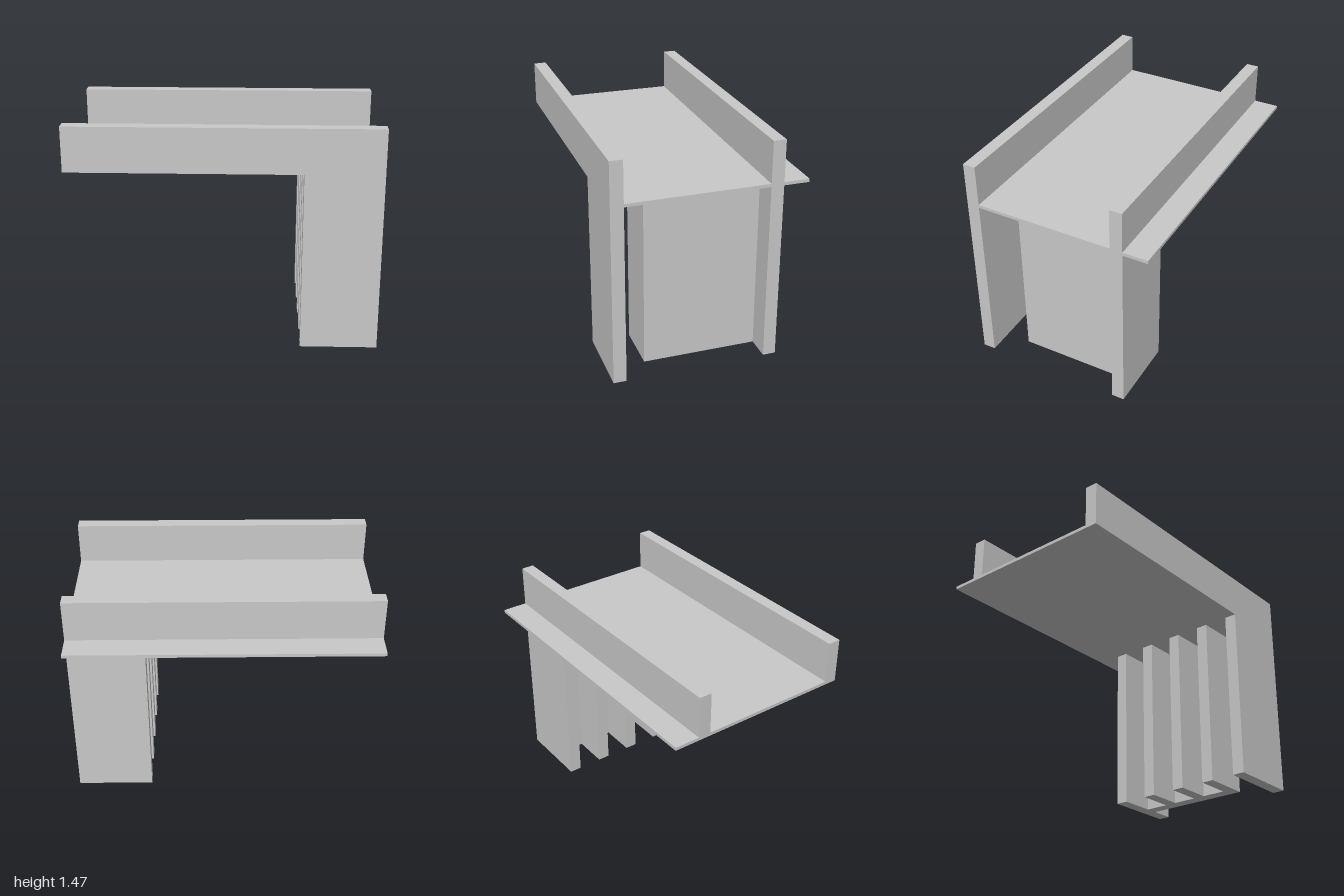
import * as THREE from 'three';

const T = 1 / 12;          // wall thickness
const TOP = 1.473;         // top of the side walls
const DECK_TOP = 1.2;
const DECK_BOTTOM = 1.179;

export function createModel() {
  const group = new THREE.Group();
  const concrete = new THREE.MeshStandardMaterial({ color: 0xc8c8c8 });
  concrete.name = 'paleGrey';

  const add = (name, geometry) => {
    const mesh = new THREE.Mesh(geometry, concrete);
    mesh.name = name;
    group.add(mesh);
  };
  // Box given by its minimum and maximum corners
  const box = (name, x0, x1, y0, y1, z0, z1) => {
    const g = new THREE.BoxGeometry(x1 - x0, y1 - y0, z1 - z0);
    g.translate((x0 + x1) / 2, (y0 + y1) / 2, (z0 + z1) / 2);
    add(name, g);
  };

  // L-shaped side walls: parapet beam with a leg at one end
  const profile = new THREE.Shape([
    [-1, DECK_BOTTOM], [0.5, DECK_BOTTOM], [0.5, 0], [1, 0], [1, TOP], [-1, TOP],
  ].map(([x, y]) => new THREE.Vector2(x, y)));
  for (const [name, z] of [['frontWall', 0.625 - T], ['backWall', -0.375 - T]]) {
    const g = new THREE.ExtrudeGeometry(profile, { depth: T, bevelEnabled: false });
    g.translate(0, 0, z);
    add(name, g);
  }

  // Thin deck, passing through the back wall to form a ledge
  box('deck', -1, 1, DECK_BOTTOM, DECK_TOP, -0.625, 0.625 - T);

  // Upright panel between the legs, with ribs on its inner side
  box('supportPanel', 0.75, 0.75 + T, 0, DECK_BOTTOM, -0.375, 0.375);
  for (let i = 0; i < 3; i++) {
    const z = 0.375 - i * 0.25;
    box('supportRib' + (i + 1), 0.5, 0.75, 0, DECK_BOTTOM, z - T, z);
  }
  return group;
}
